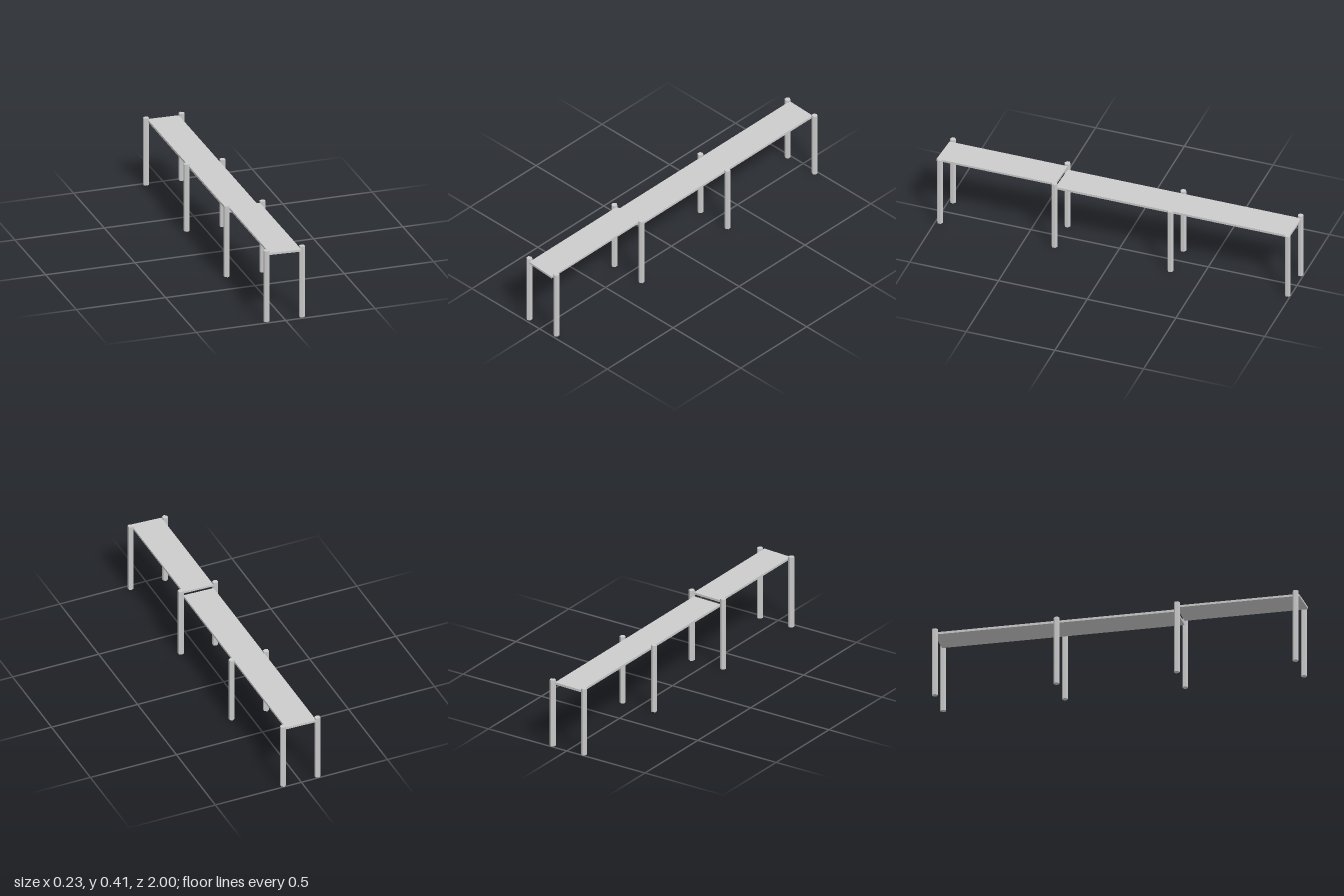
import * as THREE from 'three';

const material = new THREE.MeshStandardMaterial({ color: 0xcccccc, flatShading: true });

// Slightly skewed plank: corners are [x, z] pairs, extruded upwards from y
function plank(name, corners, y, thickness) {
  const shape = new THREE.Shape(corners.map(([x, z]) => new THREE.Vector2(x, -z)));
  const geometry = new THREE.ExtrudeGeometry(shape, { depth: thickness, bevelEnabled: false });
  geometry.rotateX(-Math.PI / 2);
  const mesh = new THREE.Mesh(geometry, material);
  mesh.name = name;
  mesh.position.y = y;
  return mesh;
}

export function createModel() {
  const model = new THREE.Group();
  model.name = 'walkway';

  // Hexagonal posts in pairs: [z, height]
  const rows = [[0.975, 0.407], [0.33, 0.407], [-0.323, 0.385], [-0.984, 0.385]];
  rows.forEach(([z, height], i) => {
    for (const side of [-1, 1]) {
      const post = new THREE.Mesh(new THREE.CylinderGeometry(0.0162, 0.0162, height, 6), material);
      post.name = `${side > 0 ? 'left' : 'right'}Post${i + 1}`;
      post.position.set(side * 0.1, height / 2, z);
      model.add(post);
    }
  });

  // Short raised deck at the front, long lower deck behind it
  model.add(plank('upperDeck',
    [[-0.086, 0.99], [0.088, 1.0], [0.086, 0.33], [-0.087, 0.324]], 0.384, 0.012));
  model.add(plank('lowerDeck',
    [[-0.088, 0.324], [0.086, 0.33], [0.084, -0.986], [-0.09, -0.991]], 0.36, 0.013));

  return model;
}
